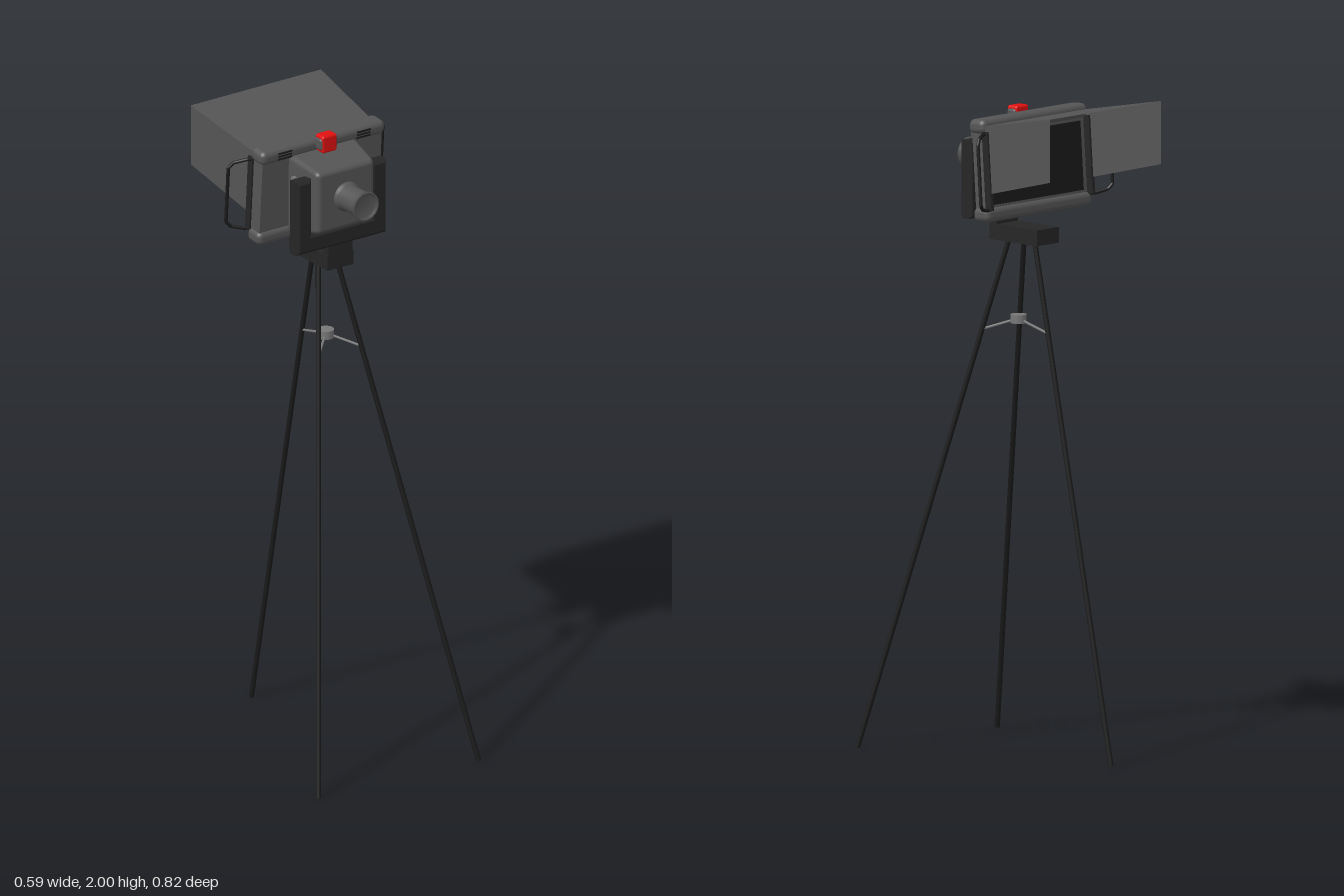
import * as THREE from 'three';
import { RoundedBoxGeometry } from 'three/addons/geometries/RoundedBoxGeometry.js';

const CX = 0.005; // middle of the camera head

function material(name, color, side = THREE.FrontSide) {
  const m = new THREE.MeshStandardMaterial({ color, side });
  m.name = name;
  return m;
}

export function createModel() {
  const grey = material('body grey', 0x555555);
  const hoodGrey = material('hood grey', 0x555555, THREE.DoubleSide);
  const black = material('black', 0x1a1a1a);
  const charcoal = material('charcoal', 0x262626);
  const red = material('red', 0xe01010);
  const steel = material('steel', 0x777777);
  const model = new THREE.Group();

  function add(name, geometry, mat, x = 0, y = 0, z = 0, parent = model) {
    const mesh = new THREE.Mesh(geometry, mat);
    mesh.name = name;
    mesh.position.set(x, y, z);
    parent.add(mesh);
    return mesh;
  }

  // round bar between two points
  function bar(name, a, b, radius, mat) {
    const dir = b.clone().sub(a);
    const mesh = add(name, new THREE.CylinderGeometry(radius, radius, dir.length(), 10), mat);
    mesh.position.copy(a).addScaledVector(dir, 0.5);
    mesh.quaternion.setFromUnitVectors(new THREE.Vector3(0, 1, 0), dir.normalize());
  }

  // tripod legs and spreader
  const hub = new THREE.Vector3(CX, 1.323, -0.01);
  const legs = [
    [[-0.03, 1.57, 0], [-0.285, 0, 0.36]],
    [[0.035, 1.57, 0], [0.278, 0, 0.4]],
    [[CX, 1.57, -0.077], [0.007, 0, -0.4]],
  ];
  for (const [top, foot] of legs) {
    const a = new THREE.Vector3(...top), b = new THREE.Vector3(...foot);
    bar('tripodLeg', a, b, 0.008, black);
    bar('spreaderArm', hub, a.clone().lerp(b, 0.178), 0.004, steel);
  }
  add('spreaderHub', new THREE.CylinderGeometry(0.025, 0.025, 0.026, 20), steel, hub.x, hub.y, hub.z);

  // tripod head and neck
  add('tripodHead', new THREE.BoxGeometry(0.095, 0.048, 0.2), charcoal, CX, 1.587, -0.034);
  add('neck', new THREE.BoxGeometry(0.09, 0.07, 0.03), charcoal, CX, 1.635, 0.051);

  // U-shaped yoke with bevelled edges
  const b = 0.01, w = 0.167 - b, wi = 0.109 + b;
  const u = new THREE.Shape([
    [-w, 1.64 + b], [w, 1.64 + b], [w, 1.88 - b], [wi, 1.88 - b],
    [wi, 1.70 - b], [-wi, 1.70 - b], [-wi, 1.88 - b], [-w, 1.88 - b],
  ].map(([x, y]) => new THREE.Vector2(x, y)));
  add('yoke', new THREE.ExtrudeGeometry(u, {
    depth: 0.026, bevelEnabled: true, bevelSize: b, bevelThickness: b, bevelSegments: 1,
  }), charcoal, CX, 0, 0.04);

  // front housing, tapering toward the lens
  const housing = new RoundedBoxGeometry(0.25, 0.25, 0.14, 4, 0.018);
  const p = housing.attributes.position;
  for (let i = 0; i < p.count; i++) {
    const t = (p.getZ(i) + 0.07) / 0.14;
    p.setX(i, p.getX(i) * (1 - 0.16 * t));
    p.setY(i, p.getY(i) * (1.03 - 0.24 * t));
  }
  add('housing', housing, grey, CX, 1.802, 0.027);

  // lens barrel with a rim and recessed front
  const profile = [[0.046, 0], [0.046, 0.014], [0.04, 0.018], [0.04, 0.1], [0.047, 0.102],
    [0.047, 0.107], [0.04, 0.107], [0.036, 0.098], [0, 0.098]];
  const lens = [];
  for (let i = 0; i < profile.length; i++) lens.push(new THREE.Vector2(...profile[i]));
  add('lens', new THREE.LatheGeometry(lens, 32), grey, CX, 1.807, 0.093).rotation.x = Math.PI / 2;

  // side knob
  add('knob', new THREE.CylinderGeometry(0.008, 0.008, 0.012, 12), steel, -0.118, 1.86, -0.002)
    .rotation.z = Math.PI / 2;

  // slightly tilted main frame
  const frame = new THREE.Group();
  frame.name = 'frame';
  frame.position.set(CX, 1.805, -0.06);
  frame.rotation.x = 0.07;
  model.add(frame);
  add('framePanel', new THREE.BoxGeometry(0.44, 0.27, 0.046), grey, 0, 0, 0, frame);
  for (const s of [1, -1]) {
    add('frameRoll', new RoundedBoxGeometry(0.457, 0.045, 0.066, 4, 0.018), grey, 0, s * 0.134, 0, frame);
    // cooling slots
    for (let i = -1; i <= 1; i++) {
      add('slot', new THREE.BoxGeometry(0.05, 0.005, 0.004), black, s * 0.145, 0.134 + i * 0.009, 0.0325, frame);
    }
    // bent wire handles with their brackets
    const path = new THREE.CurvePath();
    const pts = [[0.215, 0.113, -0.03], [0.235, 0.113, -0.036], [0.272, 0.103, -0.055],
      [0.285, 0.085, -0.062], [0.285, -0.095, -0.062], [0.272, -0.11, -0.055],
      [0.235, -0.118, -0.036], [0.215, -0.118, -0.03]]
      .map(([x, y, z]) => new THREE.Vector3(s * x, y, z));
    for (let i = 1; i < pts.length; i++) path.add(new THREE.LineCurve3(pts[i - 1], pts[i]));
    add('handle', new THREE.TubeGeometry(path, 60, 0.0055, 8), black, 0, 0, 0, frame);
    add('handleBracket', new THREE.BoxGeometry(0.012, 0.24, 0.024), charcoal, s * 0.219, 0, -0.034, frame);
  }
  add('screen', new THREE.BoxGeometry(0.39, 0.21, 0.006), black, 0, 0, -0.025, frame);

  // red release catch
  add('catchBase', new RoundedBoxGeometry(0.064, 0.04, 0.036, 3, 0.01), grey, CX, 1.948, -0.008);
  add('catch', new RoundedBoxGeometry(0.054, 0.055, 0.041, 3, 0.007), red, CX, 1.948, -0.008);

  // viewing hood, open at the back and below
  const near = [[-0.218, 1.735, -0.088], [-0.218, 1.943, -0.075], [0.218, 1.943, -0.075], [0.218, 1.735, -0.088]];
  const far = [[-0.24, 1.807, -0.374], [-0.24, 2, -0.374], [0.24, 2, -0.374], [0.24, 1.807, -0.374]];
  const verts = [];
  for (let i = 0; i < 3; i++) {
    verts.push(...near[i], ...near[i + 1], ...far[i + 1], ...near[i], ...far[i + 1], ...far[i]);
  }
  const hood = new THREE.BufferGeometry();
  hood.setAttribute('position', new THREE.Float32BufferAttribute(verts, 3));
  hood.computeVertexNormals();
  add('hood', hood, hoodGrey, CX, 0, 0);

  return model;
}
